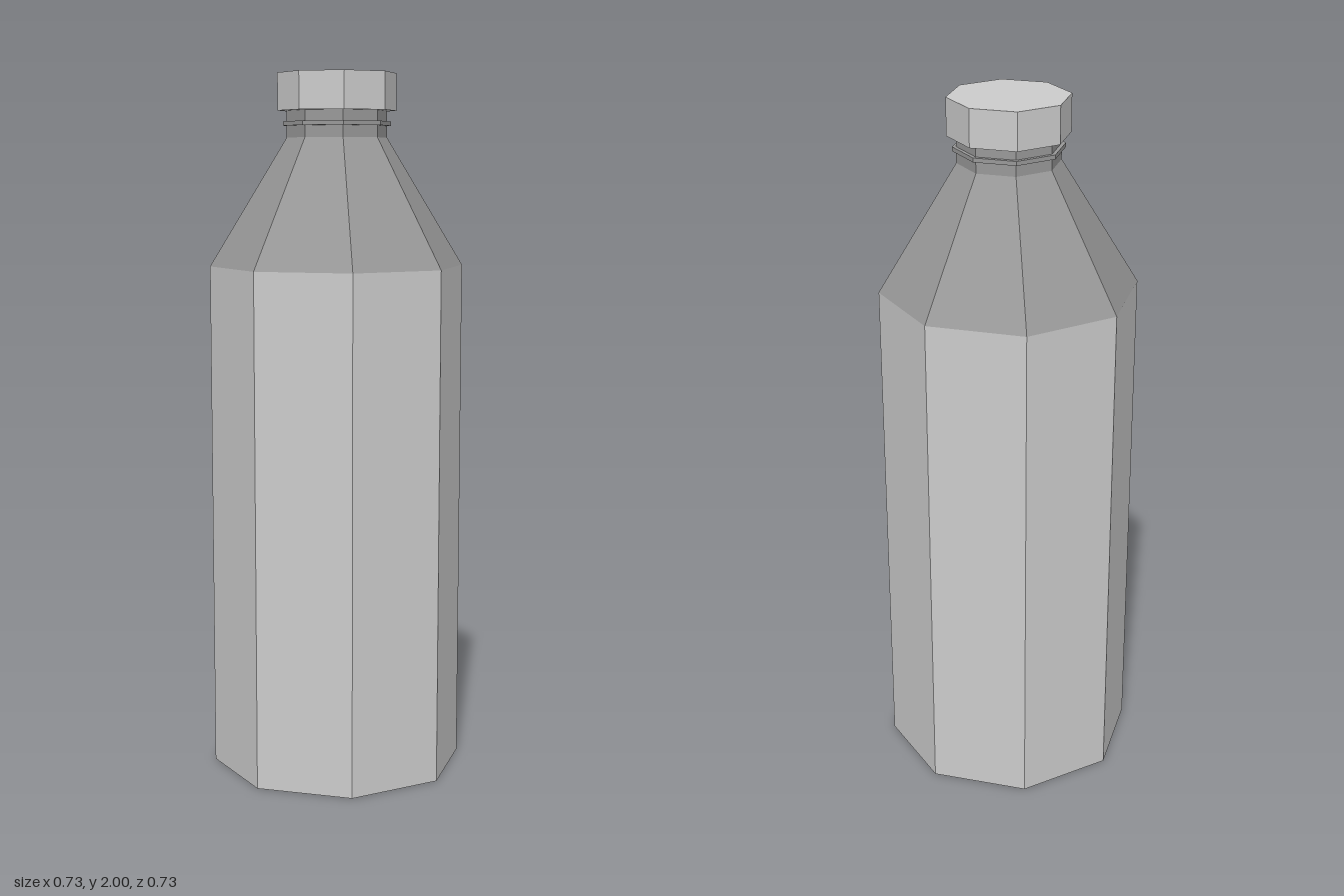
import * as THREE from 'three';

// Eight-sided bottle with corners on the x and z axes
const SIDES = 8;

export function createModel() {
  const bottle = new THREE.Group();
  bottle.name = 'bottle';

  const lightGrey = new THREE.MeshStandardMaterial({ color: 0xcccccc });
  lightGrey.name = 'light grey';
  const midGrey = new THREE.MeshStandardMaterial({ color: 0x999999 });
  midGrey.name = 'mid grey';
  for (const m of [lightGrey, midGrey]) m.flatShading = true;

  // One faceted section between two heights
  function section(name, material, bottomRadius, topRadius, y0, y1, open = false) {
    const geometry = new THREE.CylinderGeometry(topRadius, bottomRadius, y1 - y0, SIDES, 1, open);
    const mesh = new THREE.Mesh(geometry, material);
    mesh.name = name;
    mesh.position.y = (y0 + y1) / 2;
    bottle.add(mesh);
  }

  section('body', lightGrey, 0.363, 0.363, 0, 1.459);
  section('shoulder', midGrey, 0.363, 0.143, 1.459, 1.82, true);
  section('neck', midGrey, 0.143, 0.143, 1.82, 1.9, true);
  section('neckRing', midGrey, 0.154, 0.154, 1.853, 1.865);
  section('cap', lightGrey, 0.169, 0.169, 1.895, 2);

  return bottle;
}
